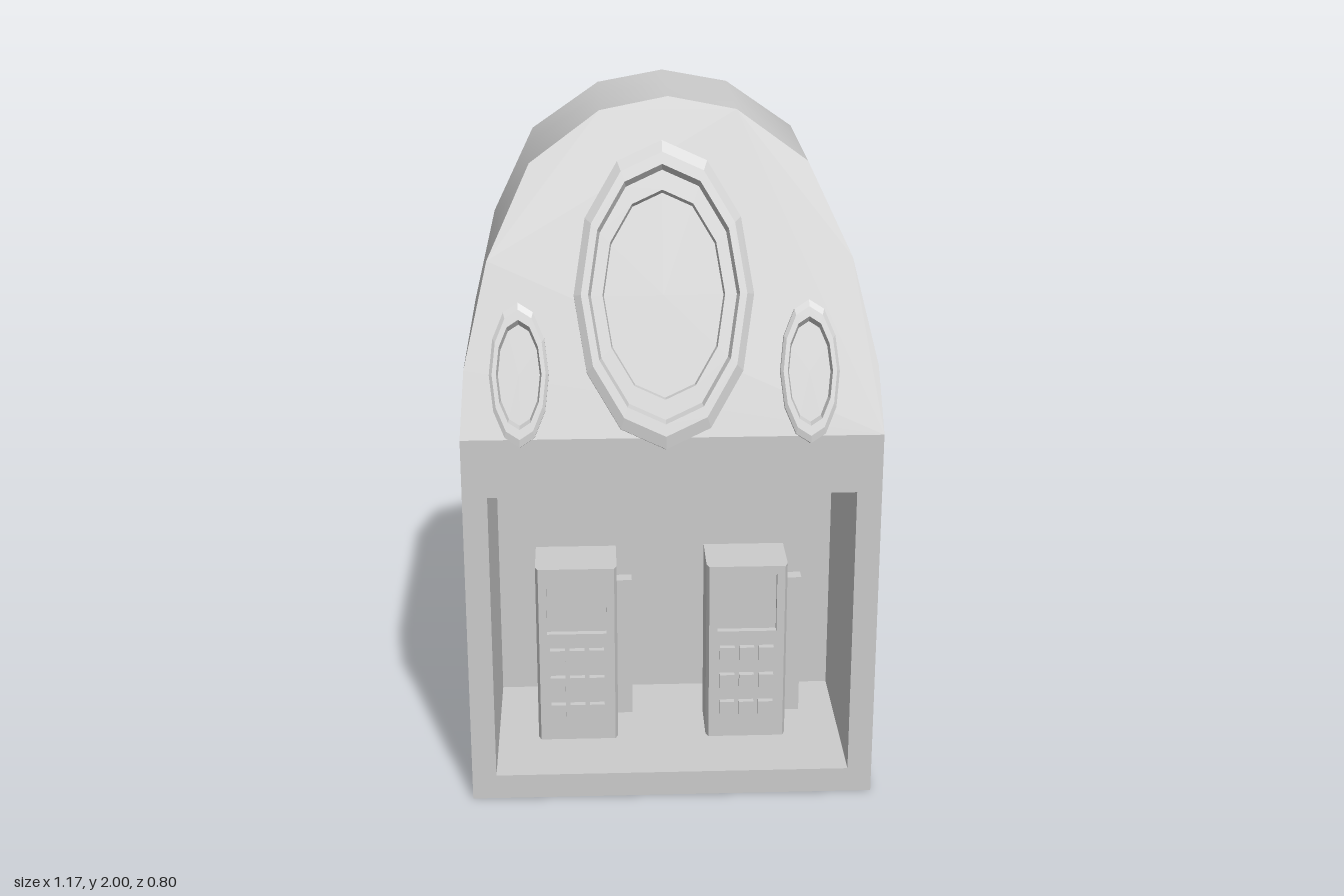
import * as THREE from 'three';
import { mergeGeometries, toCreasedNormals } from 'three/addons/utils/BufferGeometryUtils.js';

const W = 0.585, FRONT = 0.36, BACK = -0.395, RECESS = -0.195;
const BEND = 1.12, SLOPE = 0.38; // the front leans back above BEND
const faceZ = (y) => FRONT - SLOPE * Math.max(0, y - BEND);
const TILT = Math.atan2(1, SLOPE);

const material = new THREE.MeshStandardMaterial({ color: 0xcccccc });
const flatMaterial = new THREE.MeshStandardMaterial({ color: 0xcccccc, flatShading: true });

function mesh(name, geometry, parent, mat = material) {
  const m = new THREE.Mesh(geometry, mat);
  m.name = name;
  parent.add(m);
  return m;
}

function box(name, parent, x0, x1, y0, y1, z0, z1) {
  const m = mesh(name, new THREE.BoxGeometry(x1 - x0, y1 - y0, z1 - z0), parent);
  m.position.set((x0 + x1) / 2, (y0 + y1) / 2, (z0 + z1) / 2);
  return m;
}

const polygon = (points) => points.map(([x, y]) => new THREE.Vector2(x, y));
const rectangle = (x0, x1, y0, y1) => polygon([[x0, y0], [x1, y0], [x1, y1], [x0, y1]]);

function extrude(outline, z0, z1, hole) {
  const shape = new THREE.Shape(outline);
  if (hole) shape.holes.push(new THREE.Path(hole));
  const g = new THREE.ExtrudeGeometry(shape, { depth: z1 - z0, bevelEnabled: false });
  return g.translate(0, 0, z0);
}

// Arched housing: back slab, open lower frame and sloping upper front
function createHousing() {
  const side = [[W, BEND], [0.572, 1.3], [0.505, 1.58], [0.385, 1.83], [0.19, 1.965]];
  const arch = [...side, [0, 2], ...side.map(([x, y]) => [-x, y]).reverse()];
  const slab = extrude(polygon([[-W, 0], [W, 0], ...arch]), BACK, RECESS);
  const frame = extrude(rectangle(-W, W, 0, BEND), RECESS, FRONT, rectangle(-0.515, 0.515, 0.075, 0.95));
  const upper = extrude(polygon(arch), RECESS, FRONT);
  const p = upper.attributes.position;
  for (let i = 0; i < p.count; i++) {
    if (p.getZ(i) > 0) p.setZ(i, faceZ(p.getY(i)));
  }
  return toCreasedNormals(mergeGeometries([slab, frame, upper]), 0.7);
}

// Twelve-sided oval frame lying on the sloping front; profile is [radius, height]
function addOval(name, parent, x, y, rx, ry, profile) {
  const g = new THREE.LatheGeometry(polygon(profile), 12);
  g.scale(rx, 1, ry);
  g.rotateX(TILT);
  mesh(name, g, parent, flatMaterial).position.set(x, y, faceZ(y));
}

// Telephone with tapered face, sunken screen, keys and handset
function createTelephone(name) {
  const phone = new THREE.Group();
  phone.name = name;
  box('phoneBody', phone, -0.12, 0.12, 0.075, 0.635, -0.02, 0.13);
  const face = extrude(rectangle(-0.112, 0.112, 0.075, 0.635), 0.13, 0.15, rectangle(-0.088, 0.088, 0.425, 0.61));
  const p = face.attributes.position;
  for (let i = 0; i < p.count; i++) {
    if (Math.abs(p.getX(i)) > 0.1 && p.getZ(i) < 0.14) p.setX(i, Math.sign(p.getX(i)) * 0.12);
  }
  face.computeVertexNormals();
  mesh('phoneFace', face, phone);
  for (let row = 0; row < 3; row++) {
    for (let col = -1; col <= 1; col++) {
      const x = col * 0.058, y = 0.177 + row * 0.09;
      box('key', phone, x - 0.022, x + 0.022, y - 0.022, y + 0.022, 0.145, 0.168);
    }
  }
  box('handset', phone, 0.12, 0.165, 0.135, 0.575, 0.06, 0.1);
  return phone;
}

export function createModel() {
  const model = new THREE.Group();
  model.name = 'telephoneBooth';
  mesh('housing', createHousing(), model);

  addOval('largeOvalFrame', model, -0.02, 1.486, 0.247, 0.423, [
    [1, -0.01], [1, 0.037], [0.92, 0.05], [0.84, 0.05], [0.81, 0.03], [0.68, 0.03], [0.665, 0.015], [0, 0.015],
  ]);
  for (const s of [-1, 1]) {
    addOval('smallOvalFrame', model, -0.02 + s * 0.4, 1.286, 0.082, 0.198, [
      [1, -0.01], [1, 0.016], [0.9, 0.022], [0.76, 0.022], [0.7, 0.004], [0, 0.004],
    ]);
  }

  [['rightTelephone', -0.275], ['leftTelephone', 0.23]].forEach(([name, x]) => {
    const phone = createTelephone(name);
    phone.position.x = x;
    model.add(phone);
  });

  // Centre the depth
  model.children.forEach((part) => { part.position.z += 0.002; });
  return model;
}
